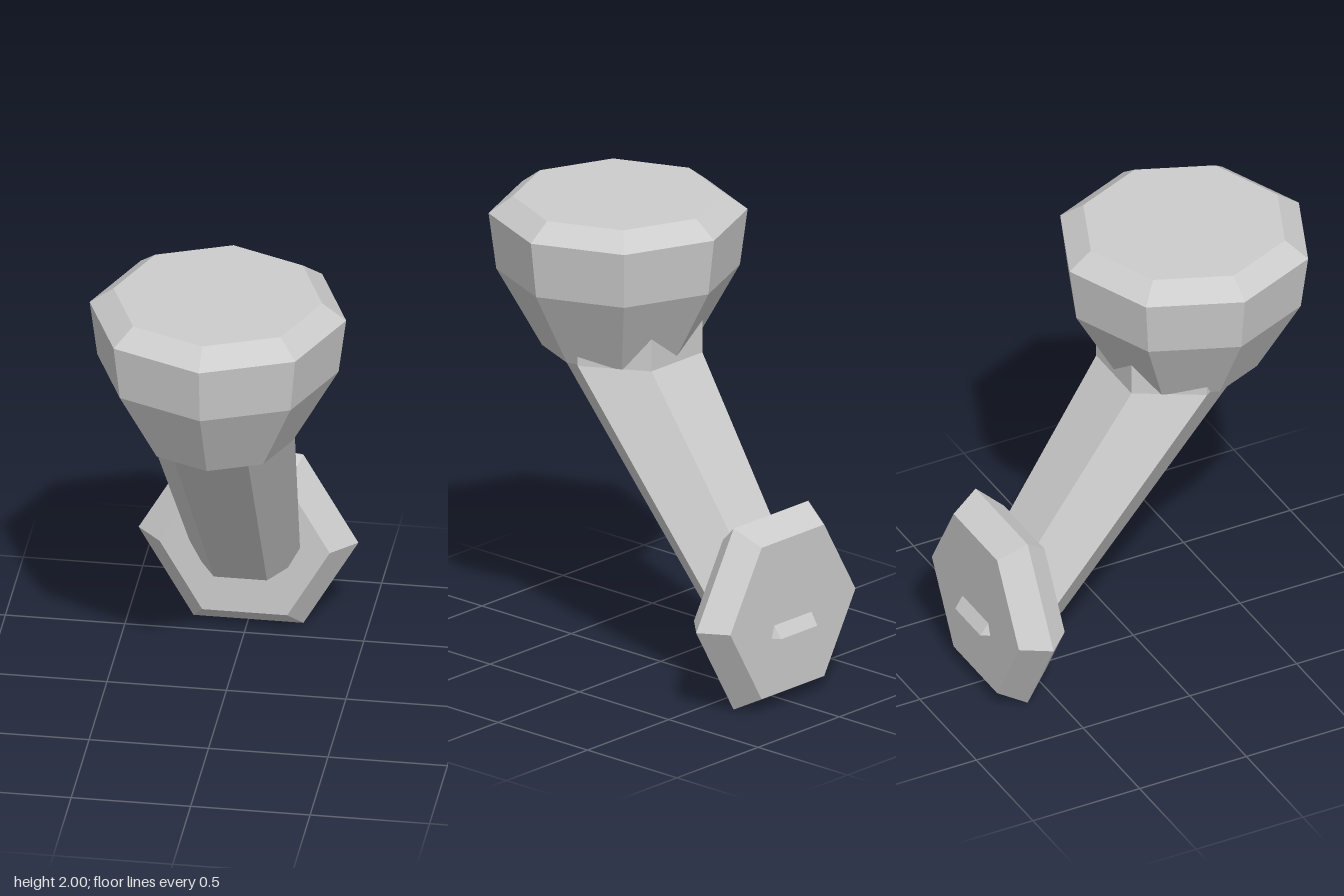
import * as THREE from 'three';

// Faceted solid of revolution about y, closed by caps; profile is [radius, height] from bottom to top
function facetedSolid(profile, sides) {
  const rings = [[0, profile[0][1]], ...profile, [0, profile[profile.length - 1][1]]];
  return new THREE.LatheGeometry(rings.map(([r, y]) => new THREE.Vector2(r, y)), sides);
}

export function createModel() {
  const model = new THREE.Group();
  const grey = new THREE.MeshStandardMaterial({ color: 0xcccccc, flatShading: true });
  grey.name = 'light grey';

  const add = (name, geometry) => {
    const mesh = new THREE.Mesh(geometry, grey);
    mesh.name = name;
    model.add(mesh);
  };

  // Eight-sided flared knob with a bevelled top
  const knob = facetedSolid([[0.315, 1.343], [0.505, 1.683], [0.537, 1.927], [0.437, 2]], 8);
  knob.translate(0, 0, 0.238);
  add('knob', knob);

  // Six-sided leaning shaft: level rings slide back in z, then rise straight into the knob
  const shaft = facetedSolid([[0.223, 0.318], [0.313, 1.343], [0.313, 1.6]], 6);
  shaft.rotateY(Math.PI / 2);
  const p = shaft.attributes.position;
  for (let i = 0; i < p.count; i++) {
    const t = Math.min(1, (p.getY(i) - 0.318) / 1.025);
    p.setZ(i, p.getZ(i) + THREE.MathUtils.lerp(-0.582, 0.18, t));
  }
  shaft.computeVertexNormals();
  add('shaft', shaft);

  // Hexagonal mounting plate with both rims bevelled
  const plate = facetedSolid([[0.385, -0.74], [0.46, -0.617], [0.356, -0.51]], 6);
  plate.rotateY(Math.PI / 2).rotateX(Math.PI / 2).translate(0, 0.4, 0);
  add('mountingPlate', plate);

  return model;
}
